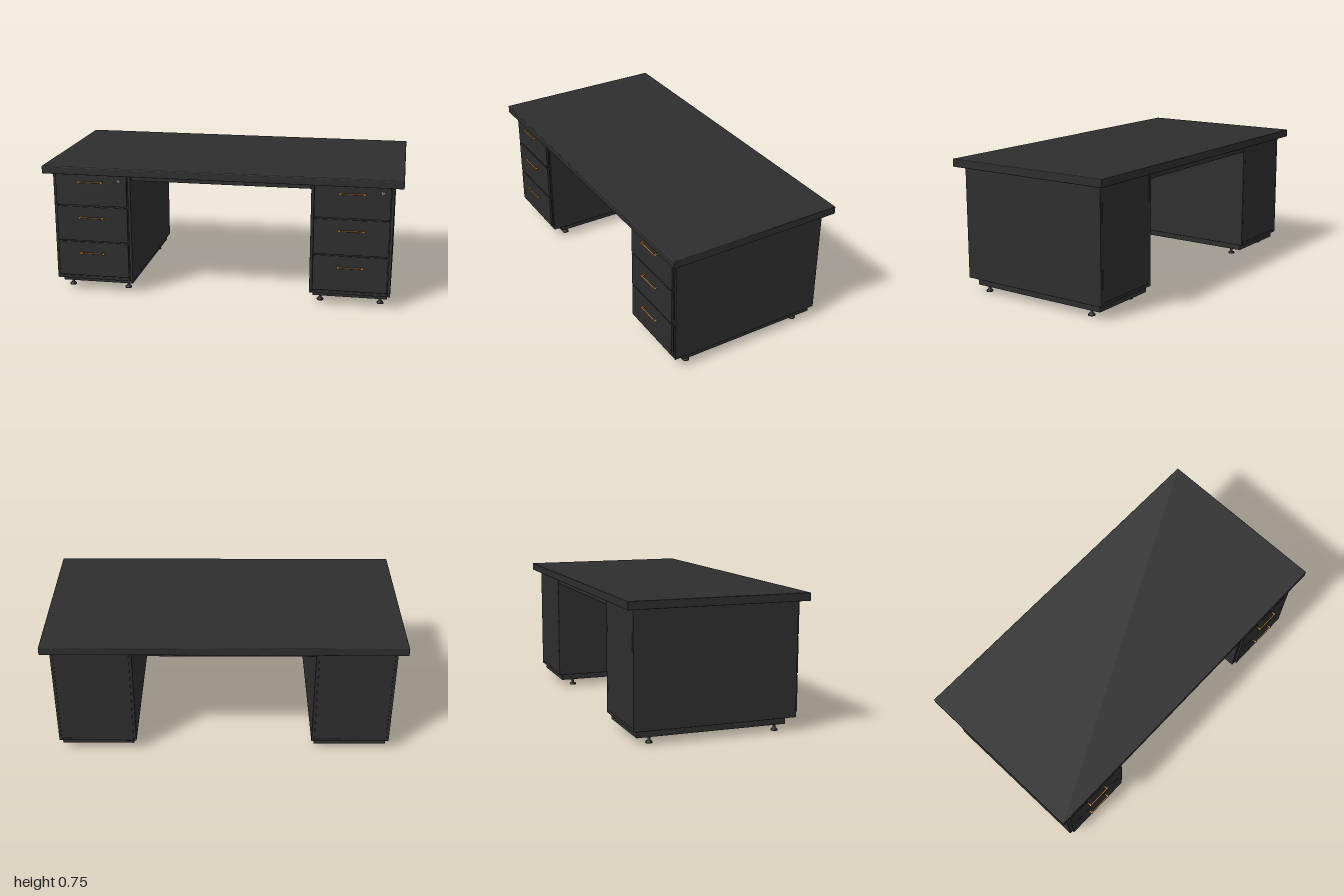
import * as THREE from 'three';
import { RoundedBoxGeometry } from 'three/addons/geometries/RoundedBoxGeometry.js';

const mat = (name, color) => {
  const m = new THREE.MeshStandardMaterial({ color });
  m.name = name;
  return m;
};

export function createModel() {
  const black = mat('black laminate', 0x2d2d2d);
  const dark = mat('dark metal', 0x262626);
  const brass = mat('brass', 0xa8742f);
  const steel = mat('steel', 0x8c8c8c);

  const add = (parent, name, geometry, material, x = 0, y = 0, z = 0) => {
    const mesh = new THREE.Mesh(geometry, material);
    mesh.name = name;
    mesh.position.set(x, y, z);
    parent.add(mesh);
    return mesh;
  };

  // Board given by its limits on each axis, with slightly eased edges
  const board = (parent, name, [x0, x1], [y0, y1], [z0, z1], r = 0.0015) => add(
    parent, name, new RoundedBoxGeometry(x1 - x0, y1 - y0, z1 - z0, 2, r), black,
    (x0 + x1) / 2, (y0 + y1) / 2, (z0 + z1) / 2);

  // Bow handle: a bar on two posts with collars
  const makeHandle = () => {
    const handle = new THREE.Group();
    handle.name = 'drawerHandle';
    const bar = add(handle, 'handleBar', new THREE.CylinderGeometry(0.0042, 0.0042, 0.144, 12), brass, 0, 0, 0.019);
    bar.rotation.z = Math.PI / 2;
    for (const side of [-1, 1]) {
      const post = add(handle, 'handlePost', new THREE.CylinderGeometry(0.0045, 0.0045, 0.018, 12), brass, side * 0.066, 0, 0.009);
      post.rotation.x = Math.PI / 2;
      const collar = add(handle, 'handleCollar', new THREE.CylinderGeometry(0.0075, 0.0075, 0.011, 16), brass, side * 0.066, 0, 0.018);
      collar.rotation.x = Math.PI / 2;
    }
    return handle;
  };

  // Levelling foot: flared pad and threaded stem in one profile
  const footProfile = [[0, 0], [0.019, 0], [0.019, 0.006], [0.015, 0.011], [0.008, 0.013], [0.0075, 0.04]]
    .map(([r, y]) => new THREE.Vector2(r, y));
  const footGeometry = new THREE.LatheGeometry(footProfile, 20);

  // Pedestal with three drawers, centred on its own x = 0
  const makePedestal = (name) => {
    const pedestal = new THREE.Group();
    pedestal.name = name;
    const depth = [-0.455, 0.455];
    board(pedestal, 'leftPanel', [0.207, 0.223], [0.075, 0.702], depth);
    board(pedestal, 'rightPanel', [-0.223, -0.207], [0.075, 0.702], depth);
    board(pedestal, 'bottomPanel', [-0.207, 0.207], [0.075, 0.092], depth);
    board(pedestal, 'backPanel', [-0.207, 0.207], [0.092, 0.702], [-0.455, -0.439]);
    board(pedestal, 'plinth', [-0.207, 0.207], [0.04, 0.075], [-0.435, 0.4]);

    const drawers = [[0.1, 0.302, 0.242], [0.309, 0.511, 0.452], [0.518, 0.7, 0.66]];
    for (const [y0, y1, handleY] of drawers) {
      board(pedestal, 'drawerFront', [-0.205, 0.205], [y0, y1], [0.456, 0.47]);
      board(pedestal, 'drawerBox', [-0.195, 0.195], [y0 + 0.01, y1 - 0.02], [-0.4, 0.456]);
      const handle = makeHandle();
      handle.position.set(0, handleY, 0.47);
      pedestal.add(handle);
    }

    // Lock on the top drawer
    const lock = add(pedestal, 'lock', new THREE.CylinderGeometry(0.008, 0.008, 0.005, 20), steel, 0.162, 0.669, 0.471);
    lock.rotation.x = Math.PI / 2;
    add(pedestal, 'keySlot', new THREE.BoxGeometry(0.002, 0.008, 0.001), dark, 0.162, 0.669, 0.4738);

    for (const x of [-0.168, 0.168])
      for (const z of [-0.354, 0.356]) add(pedestal, 'foot', footGeometry, dark, x, 0, z);
    return pedestal;
  };

  const desk = new THREE.Group();
  desk.name = 'desk';

  board(desk, 'desktop', [-1, 1], [0.702, 0.746], [-0.5, 0.5], 0.004);

  for (const side of [-1, 1]) {
    const pedestal = makePedestal(side > 0 ? 'leftPedestal' : 'rightPedestal');
    pedestal.position.x = side * 0.728;
    desk.add(pedestal);
  }

  // Rails joining the pedestals under the top
  board(desk, 'frontRail', [-0.505, 0.505], [0.662, 0.702], [0.405, 0.421]);
  board(desk, 'backRail', [-0.505, 0.505], [0.662, 0.702], [-0.45, -0.434]);

  return desk;
}
